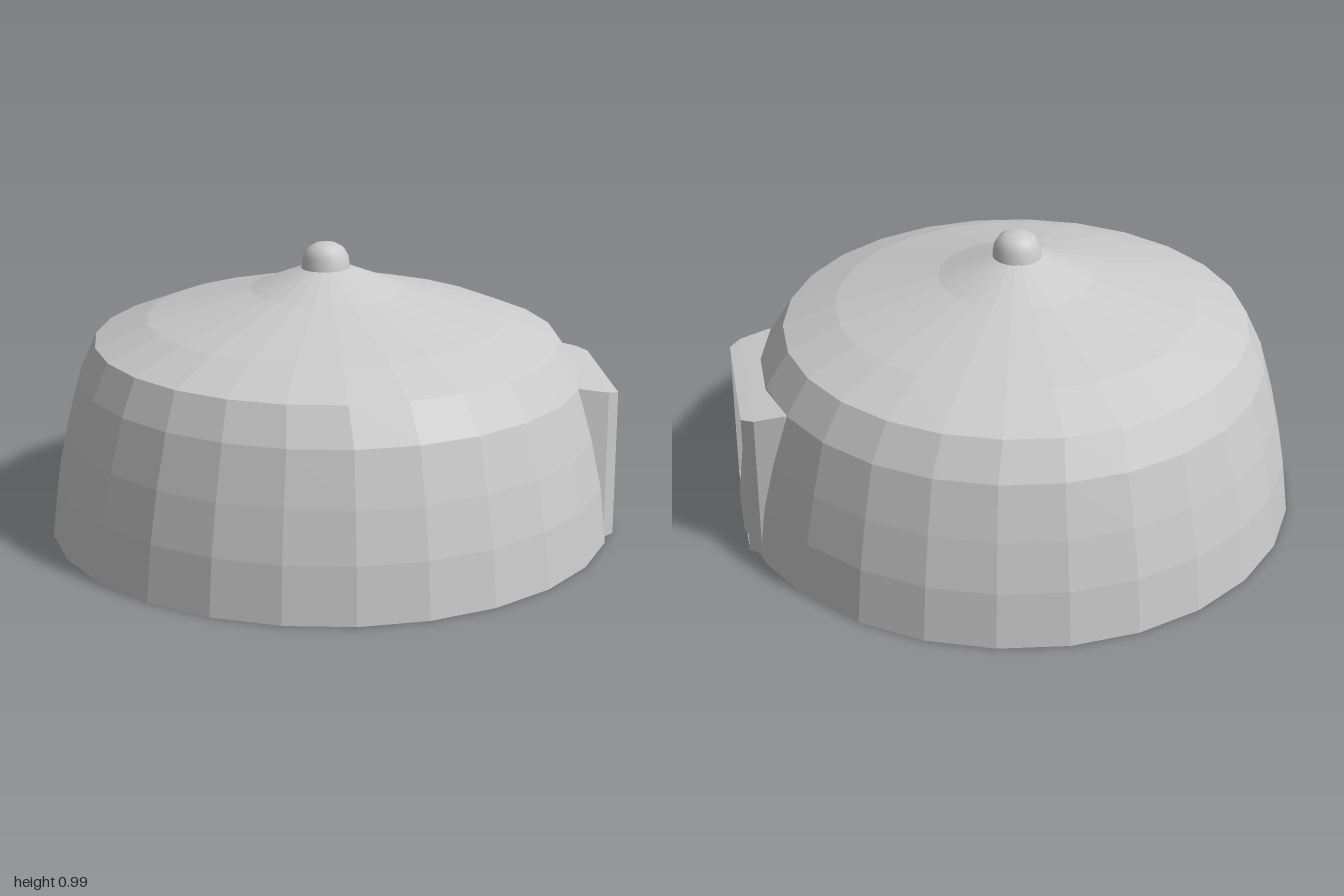
import * as THREE from 'three';

const flat = new THREE.MeshStandardMaterial({ color: 0xcccccc, flatShading: true });
const smooth = new THREE.MeshStandardMaterial({ color: 0xcccccc });

// Turned part, slightly narrower along x
function turned(name, profile, sides, material) {
  const points = profile.map(([r, y]) => new THREE.Vector2(r, y));
  const geometry = new THREE.LatheGeometry(points, sides);
  geometry.scale(0.975, 1, 1);
  const mesh = new THREE.Mesh(geometry, material);
  mesh.name = name;
  return mesh;
}

// Porch lofted outwards along x, then folded back in to the recessed door
function porchGeometry() {
  // x, half width, bottom, top
  const stations = [
    [0.74, 0.315, 0, 0.545],
    [0.82, 0.315, 0, 0.54],
    [0.92, 0.297, 0, 0.52],
    [0.96, 0.26, 0, 0.51],
    [0.92, 0.255, 0.012, 0.503],
  ];
  const positions = [];
  const index = [];
  for (const [x, w, low, high] of stations) {
    positions.push(x, low, -w, x, high, -w, x, high, w, x, low, w);
  }
  for (let s = 0; s < stations.length - 1; s++) {
    for (let j = 0; j < 4; j++) {
      const k = (j + 1) % 4;
      const a = s * 4, b = a + 4;
      index.push(a + j, a + k, b + j, b + j, a + k, b + k);
    }
  }
  // Door panel at the back of the recess
  const d = (stations.length - 1) * 4;
  index.push(d, d + 1, d + 2, d, d + 2, d + 3);
  const geometry = new THREE.BufferGeometry();
  geometry.setAttribute('position', new THREE.Float32BufferAttribute(positions, 3));
  geometry.setIndex(index);
  geometry.computeVertexNormals();
  return geometry;
}

export function createModel() {
  const group = new THREE.Group();
  group.name = 'domedHut';

  // Curved wall with a closed floor; its top ring leans slightly to -x
  const wall = turned('wall',
    [[0, 0], [1, 0], [0.977, 0.19], [0.94, 0.36], [0.89, 0.54], [0.82, 0.662]], 26, flat);
  const p = wall.geometry.attributes.position;
  for (let i = 0; i < p.count; i++) {
    if (p.getY(i) > 0.6) p.setX(i, p.getX(i) - 0.012);
  }
  group.add(wall);

  // Shallow roof sweeping up to the finial
  const roof = turned('roof',
    [[0.82, 0.662], [0.635, 0.735], [0.27, 0.832], [0.085, 0.905], [0, 0.905]], 26, flat);
  roof.position.x = -0.012;
  group.add(roof);

  // Rounded finial
  const finial = turned('finial',
    [[0.087, 0.9], [0.08, 0.945], [0.063, 0.972], [0.036, 0.987], [0, 0.99]], 20, smooth);
  finial.position.x = -0.015;
  group.add(finial);

  // Porch with recessed door
  const porch = new THREE.Mesh(porchGeometry(), flat);
  porch.name = 'porch';
  group.add(porch);

  return group;
}
